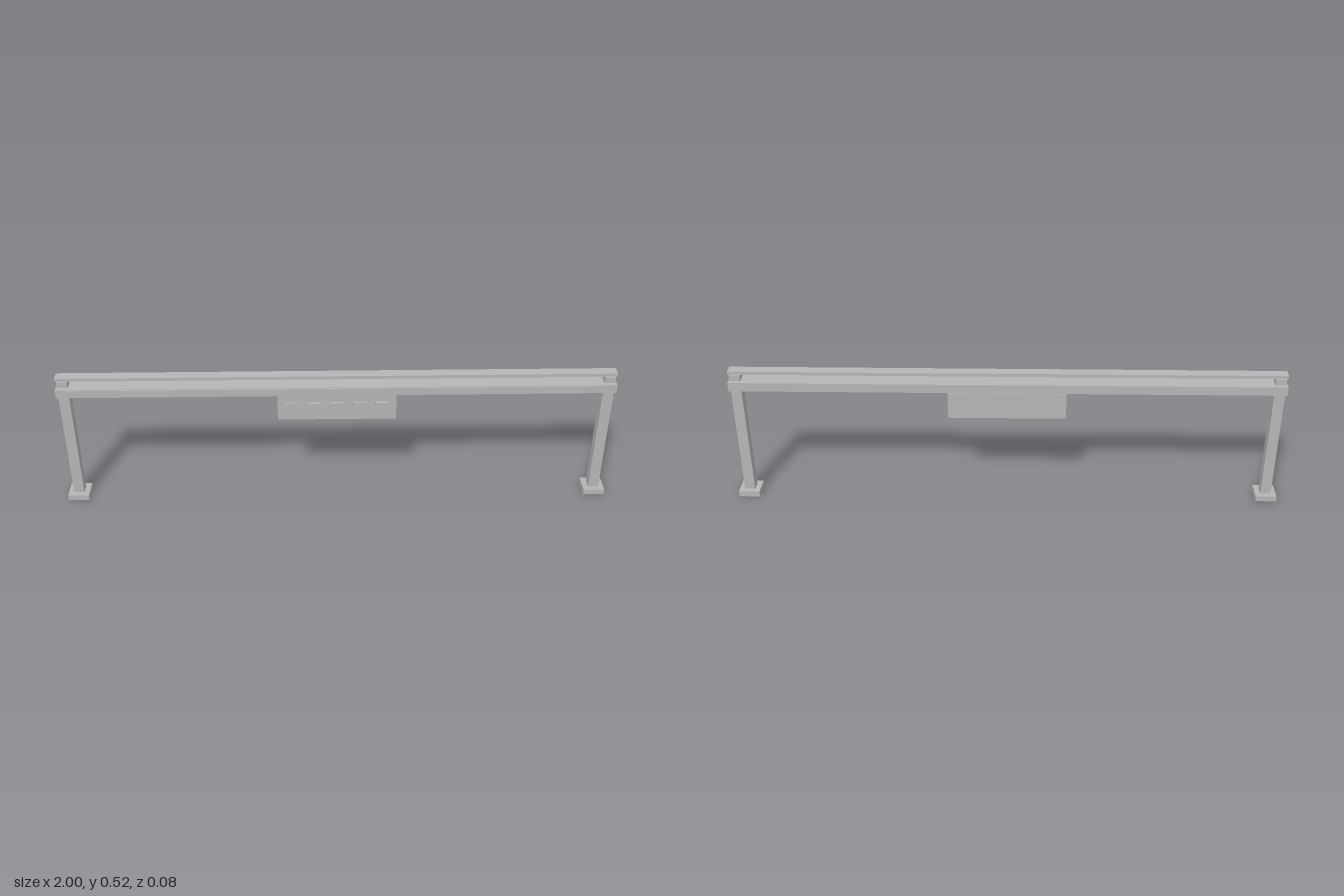
import * as THREE from 'three';

export function createModel() {
  const model = new THREE.Group();
  model.name = 'gantry';
  const grey = new THREE.MeshStandardMaterial({ color: 0xb6b6b6 });
  grey.name = 'plain grey';

  // Box given by its size and centre
  const box = (name, w, h, d, x, y, z, parent = model) => {
    const mesh = new THREE.Mesh(new THREE.BoxGeometry(w, h, d), grey);
    mesh.name = name;
    mesh.position.set(x, y, z);
    parent.add(mesh);
    return mesh;
  };

  // Posts on square foot plates
  for (const [side, s] of [['left', 1], ['right', -1]]) {
    const support = new THREE.Group();
    support.name = side + 'Support';
    box('footPlate', 0.077, 0.021, 0.077, s * 0.9615, 0.0105, 0, support);
    box('post', 0.038, 0.479, 0.038, s * 0.9615, 0.2605, 0, support);
    model.add(support);
  }

  // Main beam with its thin front strip, and the upper rail
  box('mainBeam', 1.97, 0.033, 0.066, 0, 0.4615, 0);
  box('frontStrip', 1.9, 0.027, 0.004, 0, 0.4625, 0.035);
  box('topRail', 1.97, 0.012, 0.038, 0, 0.51, 0);

  // Hanging sign panel with five raised squares
  const sign = new THREE.Group();
  sign.name = 'signPanel';
  box('panel', 0.423, 0.1, 0.02, 0, 0.381, 0, sign);
  for (let i = -2; i <= 2; i++) {
    box('raisedSquare', 0.045, 0.045, 0.008, i * 0.08, 0.381, 0.014, sign);
  }
  model.add(sign);

  return model;
}
